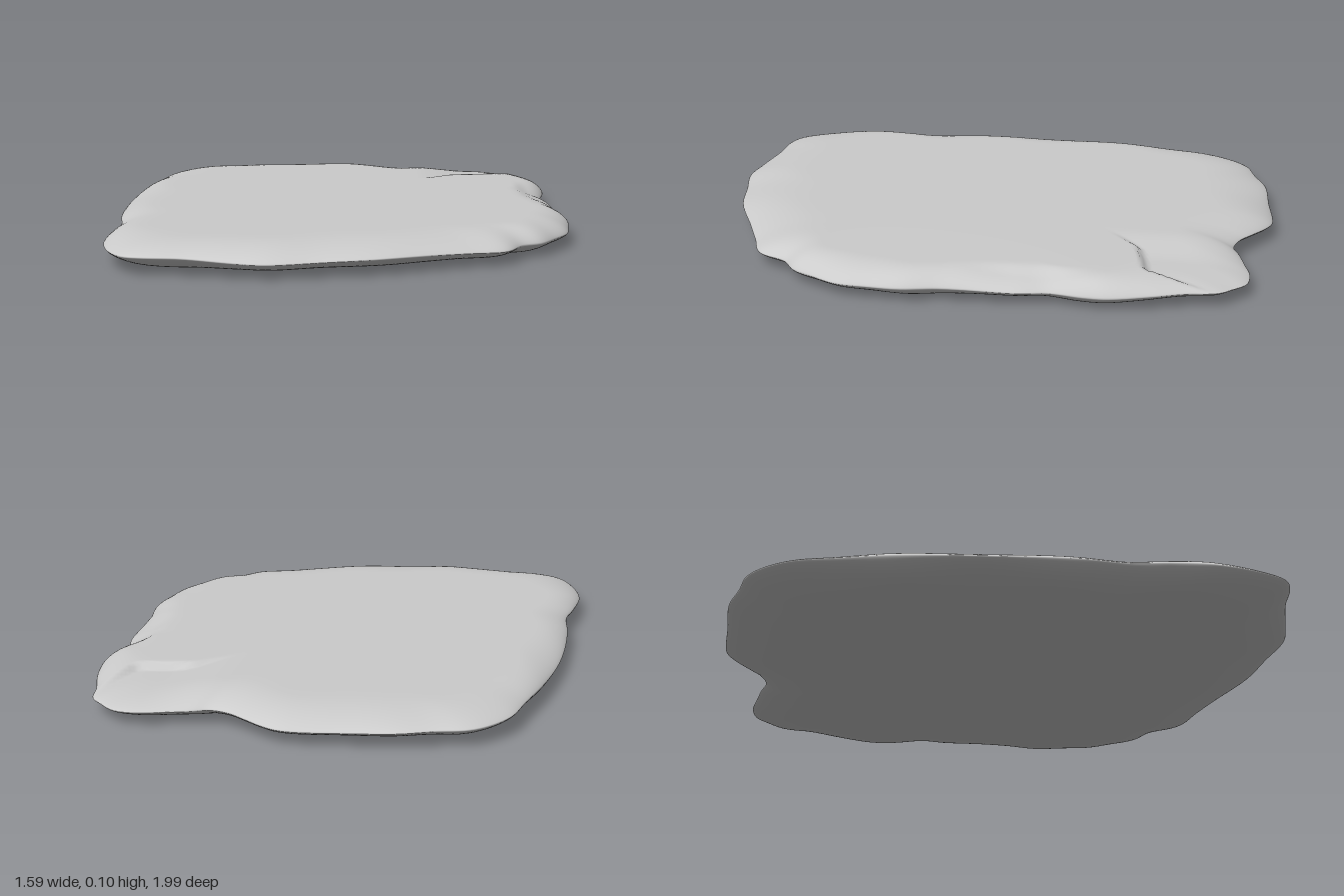
import * as THREE from 'three';

// Outline of the slab seen from above, as x, z pairs starting at the back
const OUTLINE = [
  0, -1, 0.06, -0.98, 0.14, -0.93, 0.2, -0.89, 0.27, -0.87, 0.33, -0.89, 0.41, -0.91, 0.5, -0.93,
  0.58, -0.92, 0.63, -0.88, 0.68, -0.83, 0.7, -0.74, 0.74, -0.62, 0.77, -0.48, 0.765, -0.4,
  0.745, -0.28, 0.765, -0.18, 0.77, 0, 0.775, 0.08, 0.795, 0.2, 0.785, 0.32, 0.77, 0.42,
  0.72, 0.51, 0.67, 0.59, 0.6, 0.64, 0.54, 0.74, 0.42, 0.79, 0.3, 0.84, 0.1, 0.925,
  -0.08, 0.96, -0.24, 0.99, -0.36, 0.97, -0.5, 0.94, -0.62, 0.93, -0.69, 0.9, -0.75, 0.8,
  -0.785, 0.66, -0.78, 0.5, -0.765, 0.36, -0.785, 0.2, -0.795, 0, -0.79, -0.2, -0.765, -0.42,
  -0.73, -0.6, -0.7, -0.75, -0.64, -0.85, -0.58, -0.9, -0.48, -0.93, -0.37, -0.97, -0.2, -0.985,
];
const SEGMENTS = 360;
const RINGS = 48;
const smooth = THREE.MathUtils.smoothstep;

// Rounded rise from the rim (0) to the flat face (1)
const rise = (t) => Math.pow(1 - Math.pow(1 - Math.min(t, 1), 2.2), 0.75);

// Chipped ledge in the back left corner: a sharp step that fades out inwards
function ledge(x, z) {
  const crackZ = x < 0.42 ? -0.47 - (x - 0.33) * 0.9 : -0.55 - (x - 0.42) * 0.18;
  const crackX = 0.61 + (-0.58 - z) * 0.38;
  const behind = smooth(crackZ - z, -0.01, 0.02);
  const inside = smooth(crackX - x, -0.01, 0.02);
  return 0.024 * behind * inside * smooth(x, 0.28, 0.5);
}

function slabHeight(x, z, edge, side, rimX, rimZ) {
  const rim = 0.053 - 0.008 * rimX + 0.004 * Math.sin(rimX * 9 + rimZ * 7);
  const endness = smooth(Math.abs(rimZ), 0.5, 0.9);
  const width = 0.14 + 0.1 * endness + 0.02 * Math.sin(rimX * 8 - rimZ * 11);
  const f = rise(edge / width);
  if (side < 0) return rim * (1 - f) + 0.004 * f * (x * x + z * z);
  const face = 0.1 + 0.002 * Math.cos(x * 2) * Math.cos(z * 1.5);
  // shallow worn strip along the left edge
  const worn = 0.012 * smooth(x, 0.64, 0.7) * smooth(0.25 - Math.abs(z + 0.22), 0, 0.2);
  return rim + Math.max(face - rim - worn - ledge(x, z), 0.01) * f;
}

function slabGeometry() {
  const points = [];
  for (let i = 0; i < OUTLINE.length; i += 2) {
    points.push(new THREE.Vector3(OUTLINE[i], 0, OUTLINE[i + 1]));
  }
  const curve = new THREE.CatmullRomCurve3(points, true, 'centripetal');
  const rimPoints = curve.getSpacedPoints(SEGMENTS).slice(0, SEGMENTS);

  // Rings run from the top centre out to the rim and back to the bottom centre
  const positions = [], indices = [];
  for (let k = 0; k <= 2 * RINGS; k++) {
    const u = k <= RINGS ? k / RINGS : (2 * RINGS - k) / RINGS;
    const scale = 1 - Math.pow(1 - u, 1.6);
    const side = k <= RINGS ? 1 : -1;
    for (const p of rimPoints) {
      const x = p.x * scale, z = p.z * scale;
      const edge = (1 - scale) * Math.hypot(p.x, p.z);
      positions.push(x, slabHeight(x, z, edge, side, p.x, p.z), z);
    }
  }
  for (let k = 0; k < 2 * RINGS; k++) {
    for (let j = 0; j < SEGMENTS; j++) {
      const n = (j + 1) % SEGMENTS;
      const a = k * SEGMENTS + j, b = k * SEGMENTS + n;
      const c = b + SEGMENTS, d = a + SEGMENTS;
      if (k > 0) indices.push(a, b, c);
      if (k < 2 * RINGS - 1) indices.push(a, c, d);
      else indices.push(a, b, c);
    }
  }
  // The centre rings collapse to a point, so each wedge needs a single triangle
  const geometry = new THREE.BufferGeometry();
  geometry.setAttribute('position', new THREE.Float32BufferAttribute(positions, 3));
  geometry.setIndex(indices);
  geometry.computeVertexNormals();
  return geometry;
}

export function createModel() {
  const group = new THREE.Group();
  group.name = 'flatStone';
  const slab = new THREE.Mesh(slabGeometry(), new THREE.MeshStandardMaterial({ color: 0xcccccc, roughness: 0.9 }));
  slab.name = 'stoneSlab';
  group.add(slab);
  return group;
}
